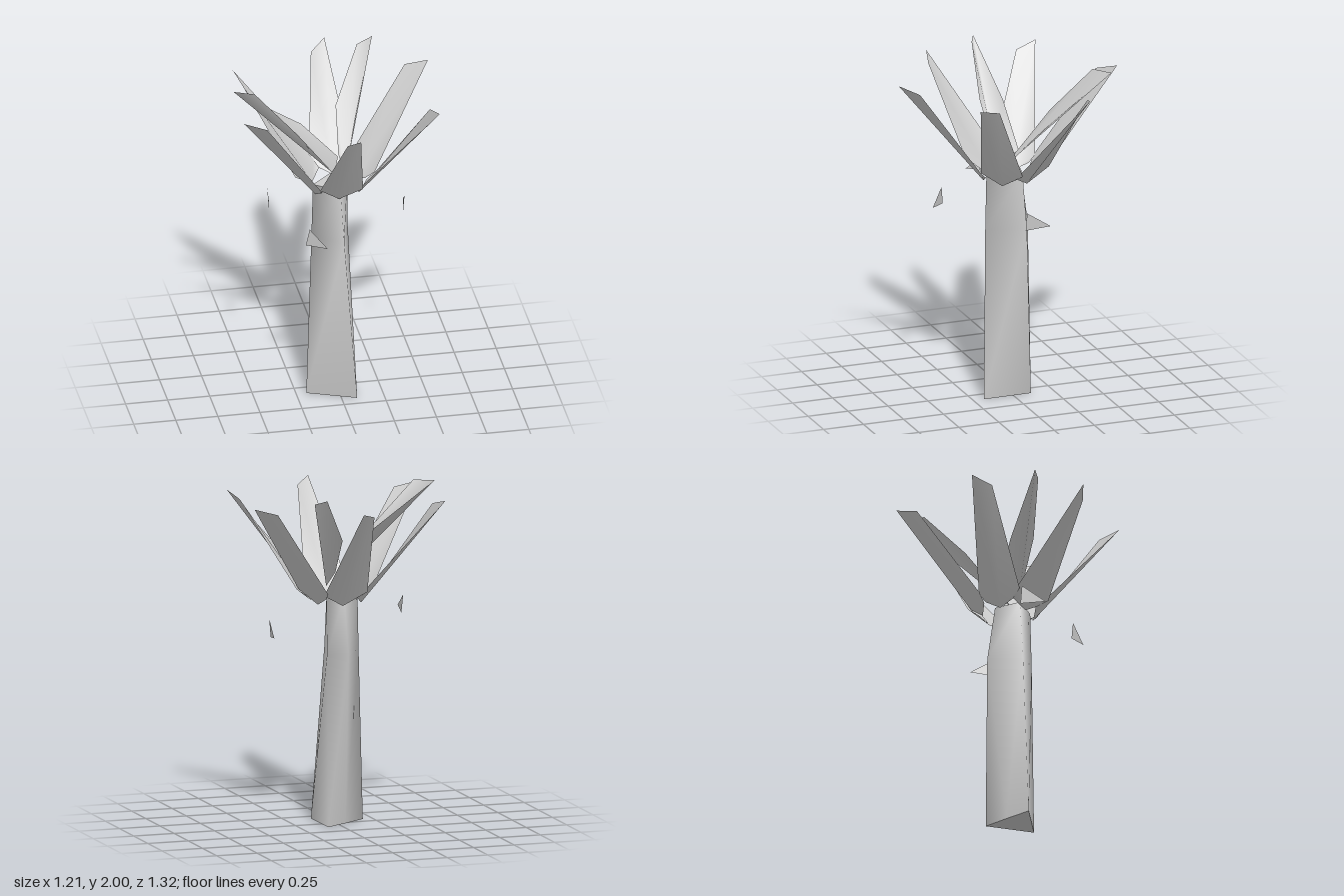
import * as THREE from 'three';

// Flat polygon fan (or single triangle) from a short list of corners
function blade(name, corners, material) {
  const geo = new THREE.BufferGeometry();
  geo.setAttribute('position', new THREE.Float32BufferAttribute(corners.flat(), 3));
  const index = [];
  for (let i = 1; i < corners.length - 1; i++) index.push(0, i, i + 1);
  geo.setIndex(index);
  geo.computeVertexNormals();
  const mesh = new THREE.Mesh(geo, material);
  mesh.name = name;
  return mesh;
}

// Skin through cross-sections [y, [x, z], [x, z], ...], counterclockwise from above
function loft(name, rings, material) {
  const n = rings[0].length - 1;
  const points = rings.flatMap(([y, ...ring]) => ring.map(([x, z]) => [x, y, z]));
  const index = [];
  for (let r = 0; r < rings.length - 1; r++) {
    for (let i = 0; i < n; i++) {
      const a = r * n + i, b = r * n + (i + 1) % n;
      index.push(a, b, b + n, a, b + n, a + n);
    }
  }
  const geo = new THREE.BufferGeometry();
  geo.setAttribute('position', new THREE.Float32BufferAttribute(points.flat(), 3));
  geo.setIndex(index);
  geo.computeVertexNormals();
  const group = new THREE.Group();
  group.name = name;
  const side = new THREE.Mesh(geo, material);
  side.name = name + 'Side';
  group.add(side);
  // separate caps keep the end edges sharp
  group.add(blade(name + 'Bottom', points.slice(0, n).reverse(), material));
  group.add(blade(name + 'Top', points.slice(-n), material));
  return group;
}

export function createModel() {
  const model = new THREE.Group();
  model.name = 'palmTree';
  const bark = new THREE.MeshStandardMaterial({ color: 0xcccccc });
  const thin = new THREE.MeshStandardMaterial({ color: 0xcccccc, side: THREE.DoubleSide });

  // Three-cornered trunk that bends slightly at the back
  model.add(loft('trunk', [
    [0, [-0.19, 0.07], [0.09, 0.185], [0.085, -0.11], [-0.05, -0.025]],
    [1.02, [-0.155, 0.045], [0.02, 0.15], [0.085, -0.085], [-0.03, -0.135]],
    [1.36, [-0.143, 0.03], [0, 0.135], [0.08, -0.06], [-0.02, -0.085]],
  ], bark));

  // Ring of six outer leaves
  const leaf = [
    [-0.01, 1.315, 0.15], [0.07, 1.36, 0.165], [0.12, 1.4, 0.21],
    [0.04, 1.91, 0.565], [-0.058, 1.945, 0.66],
    [-0.13, 1.4, 0.185], [-0.1, 1.365, 0.14],
  ];
  for (let i = 0; i < 6; i++) {
    const mesh = blade('outerLeaf' + (i + 1), leaf, thin);
    mesh.rotation.y = i * Math.PI / 3;
    model.add(mesh);
  }

  // Two steeper leaves growing from the middle
  model.add(blade('innerLeafRight', [
    [-0.02, 1.43, 0.06], [0.023, 1.48, -0.06], [-0.2, 1.73, -0.045],
    [-0.605, 2, -0.015], [-0.49, 2, 0.038], [-0.245, 1.73, 0.083],
  ], thin));
  model.add(blade('innerLeafBack', [
    [0.045, 1.4, 0.045], [0.16, 1.68, -0.21], [0.315, 2, -0.525],
    [0.21, 2, -0.447], [0.045, 1.72, -0.245], [0.025, 1.5, -0.06],
  ], thin));

  // Loose triangular flakes around the trunk
  const flakes = [
    [[-0.22, 1.23, 0.33], [-0.24, 1.12, 0.315], [-0.13, 1.14, 0.42]],
    [[0.4, 1.23, 0.035], [0.39, 1.12, 0.04], [0.418, 1.14, -0.105]],
    [[-0.403, 1.34, -0.035], [-0.418, 1.25, 0.105], [-0.39, 1.23, -0.04]],
  ];
  flakes.forEach((corners, i) => model.add(blade('flake' + (i + 1), corners, thin)));

  return model;
}
